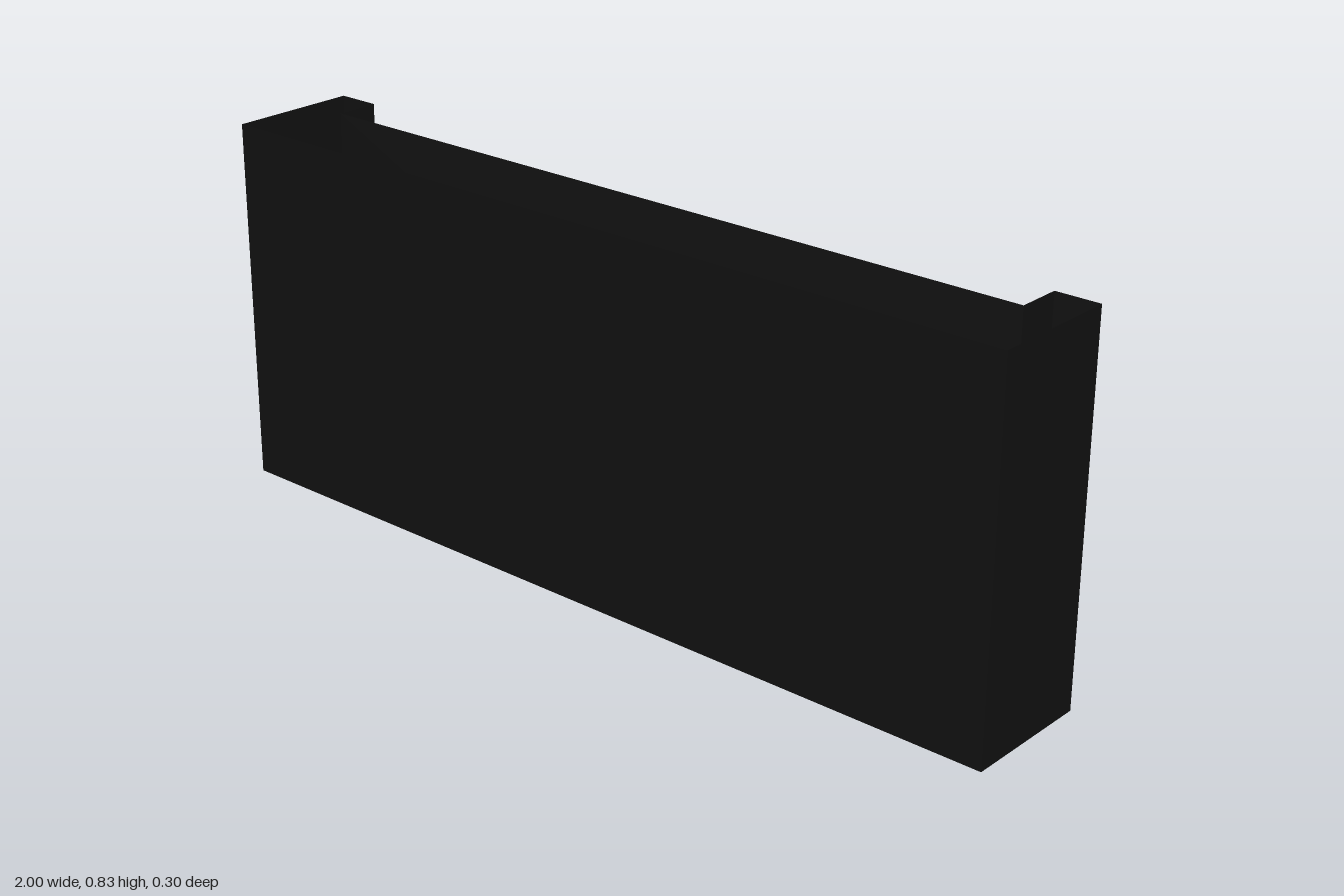
import * as THREE from 'three';

const HEIGHT = 0.833;

// Plan outline as [name, x, z] : each panel runs from its point to the next one
const OUTLINE = [
  ['frontPanel', -1, 0.15],
  ['leftSide', 1, 0.15],
  ['leftBackFlange', 1, -0.15],
  ['leftRecessReturn', 0.9, -0.15],
  ['recessedBackPanel', 0.9, -0.05],
  ['rightRecessReturn', -0.9, -0.05],
  ['rightBackFlange', -0.9, -0.15],
  ['rightSide', -1, -0.15],
];

export function createModel() {
  const group = new THREE.Group();
  group.name = 'openWallShell';
  const material = new THREE.MeshStandardMaterial({ color: 0x111111, side: THREE.DoubleSide });

  // Thin upright panels around the outline, open at top and bottom
  OUTLINE.forEach(([name, x0, z0], i) => {
    const [, x1, z1] = OUTLINE[(i + 1) % OUTLINE.length];
    const dx = x1 - x0, dz = z1 - z0;
    const panel = new THREE.Mesh(new THREE.PlaneGeometry(Math.hypot(dx, dz), HEIGHT), material);
    panel.name = name;
    panel.position.set((x0 + x1) / 2, HEIGHT / 2, (z0 + z1) / 2);
    panel.rotation.y = Math.atan2(-dz, dx);
    group.add(panel);
  });

  return group;
}
